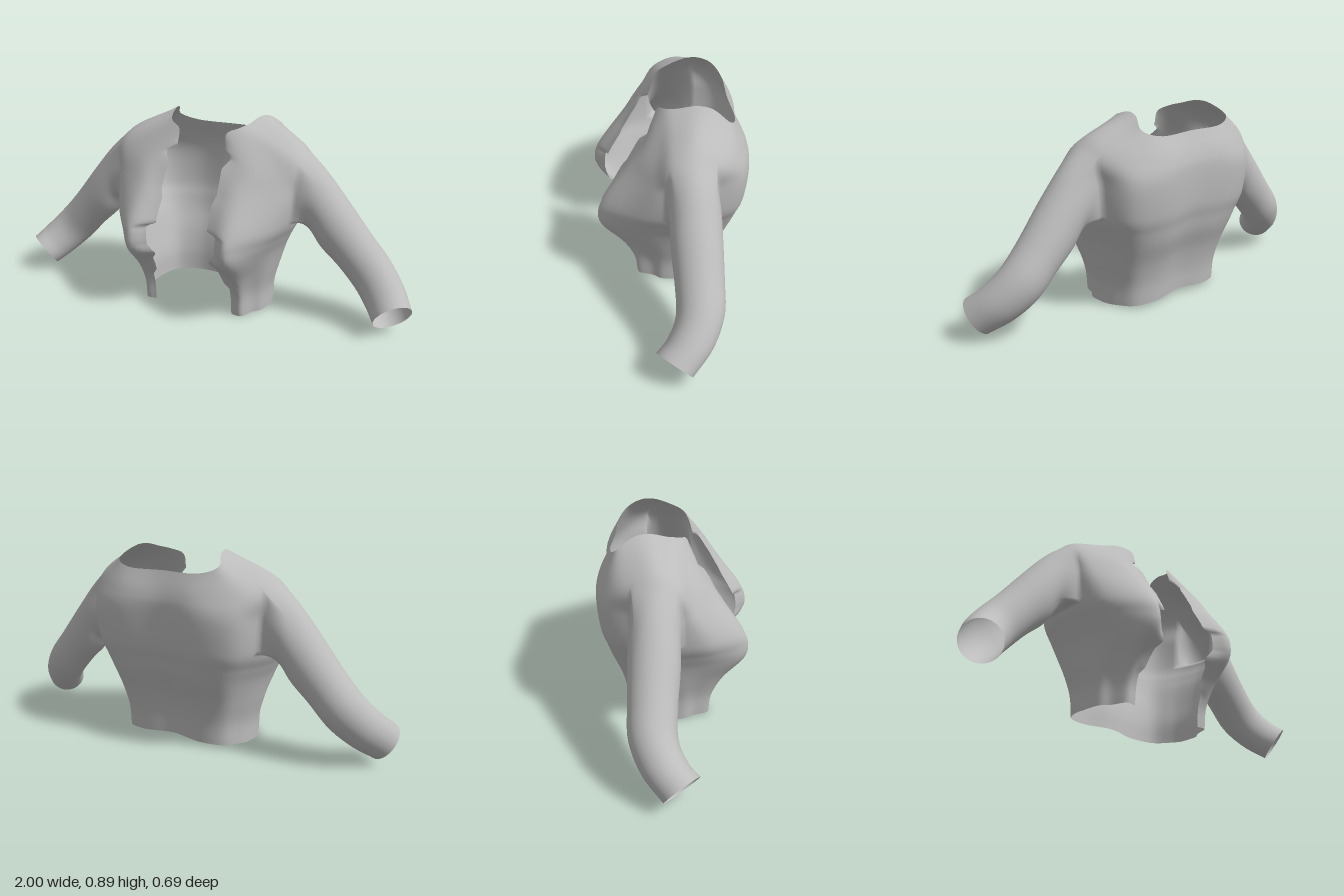
import * as THREE from 'three';
import { mergeVertices } from 'three/addons/utils/BufferGeometryUtils.js';

const V = (p) => new THREE.Vector3(...p);
const spline = (pts) => new THREE.CatmullRomCurve3(pts, false, 'catmullrom', 0.5);
const SU = 6, SV = 8, SW = 5; // steps between control points: around, up, along the sleeve

// Body levels: height, half width, depth of back, depth of front
const levels = [
  [0, .315, -.215, .165], [.1, .32, -.225, .18], [.2, .345, -.25, .235], [.3, .374, -.29, .325],
  [.37, .405, -.31, .34], [.45, .44, -.33, .31], [.6, .455, -.34, .2],
];

// Shoulder line and neckline, from the back centre to the front opening
const shoulder = [[0, .7, -.31], [.2, .71, -.32], [.36, .72, -.26], [.44, .74, -.16], [.45, .77, -.06],
  [.44, .74, .03], [.35, .72, .08], [.25, .7, .13], [.135, .69, .14]];
const neckline = [[0, .8, -.27], [.18, .8, -.275], [.27, .83, -.24], [.24, .88, -.17], [.22, .89, -.1],
  [.2, .87, -.02], [.17, .855, .03], [.12, .83, .06], [.12, .76, .08]];

// Ragged front opening: height, distance from the centre line
const opening = [[0, .2], [.14, .2], [.17, .175], [.25, .165], [.285, .135], [.33, .17], [.42, .175],
  [.435, .13], [.55, .125], [.58, .14], [.69, .135], [.73, .165], [.76, .12]];

// Sleeve rings: centre x, y, z, radius, lean outwards, turn to the front
const rings = [
  [.525, .54, -.06, .142, .18, 0], [.605, .443, -.058, .125, .41, 0], [.705, .333, -.058, .104, .69, 0],
  [.795, .235, -.05, .101, .74, .06], [.87, .155, 0, .096, .81, .29], [.925, .097, .07, .089, .82, .65],
];

function openingAt(y) {
  const k = Math.max(opening.findIndex((p) => p[0] > y), 0) || opening.length - 1;
  const [y0, x0] = opening[y < 0 ? 0 : k - 1], [y1, x1] = opening[y < 0 ? 1 : k];
  return x0 + (x1 - x0) * THREE.MathUtils.clamp((y - y0) / (y1 - y0), 0, 1);
}

// One body level as nine points from the back centre round the left side
function levelRow([y, w, back, front]) {
  const outline = [
    [0, back + .02], [.47 * w, back], [.82 * w, .85 * back], [.96 * w, .48 * back], [w, -.03],
    [.98 * w, .055], [.88 * w, .01 + .55 * front], [.25, front], [openingAt(y), front - .25 * (front - .165)],
  ];
  return outline.map(([x, z], c) => [x, y + .025 * Math.max(1 - c / 4, 0), z]);
}

// Torso grid, smoothed up each column and then round each row
function torsoGrid() {
  const rows = [...levels.map(levelRow), shoulder, neckline];
  const nu = 8 * SU, nv = (rows.length - 1) * SV;
  const columns = neckline.map((_, c) => spline(rows.map((r) => V(r[c]))));
  const grid = [];
  for (let j = 0; j <= nv; j++) {
    const pts = columns.map((c) => c.getPoint(j / nv));
    const mirrored = pts[1].clone();
    mirrored.x *= -1;
    const curve = spline([mirrored, ...pts]);
    const line = [];
    for (let i = 0; i <= nu; i++) {
      const u = i / SU, p = curve.getPoint((1 + u) / 9);
      if (i === 0) p.x = 0;
      if (u > 7) p.x += (openingAt(p.y) - pts[8].x) * (u - 7);
      p.y = Math.max(p.y, 0);
      line.push(p);
    }
    grid.push(line);
  }
  return grid;
}

// Point on a sleeve ring, at an angle measured from its top towards the front
function ringPoint([x, y, z, r, lean, turn], angle) {
  const up = V([Math.sin(lean), Math.cos(lean), 0]);
  const front = V([-.7 * Math.sin(turn), .71 * Math.sin(turn), Math.cos(turn)]);
  return V([x, y, z]).addScaledVector(up, r * Math.cos(angle))
    .addScaledVector(front, Math.min(r, .11) * Math.sin(angle));
}

// Sleeve grid, grown from the edge of the armhole to the cuff
function sleeveGrid(torso, [i0, i1, j0, j1]) {
  const edge = [];
  for (let i = i0; i < i1; i++) edge.push(torso[j0][i]);
  for (let j = j0; j < j1; j++) edge.push(torso[j][i1]);
  for (let i = i1; i > i0; i--) edge.push(torso[j1][i]);
  for (let j = j1; j > j0; j--) edge.push(torso[j][i0]);
  edge.push(edge[0]);
  const paths = edge.map((p) => {
    const angle = Math.atan2((p.z + .06) / .11, (p.y - .6) / .16);
    return spline([p, ...rings.map((ring) => ringPoint(ring, angle))]);
  });
  const n = rings.length * SW;
  return Array.from({ length: n + 1 }, (_, j) => paths.map((path) => path.getPoint(j / n)));
}

export function createModel() {
  const cloth = new THREE.MeshStandardMaterial({ color: 0xbcbcbc, side: THREE.DoubleSide });
  cloth.name = 'grey cloth';

  const positions = [], indices = [];
  // Adds a grid of points as quads, mirrored for side = -1
  function addGrid(grid, side, skip = () => false) {
    const base = positions.length / 3, w = grid[0].length;
    for (const line of grid) for (const p of line) positions.push(side * p.x, p.y, p.z);
    for (let j = 0; j < grid.length - 1; j++) {
      for (let i = 0; i < w - 1; i++) {
        if (skip(i, j)) continue;
        const a = base + j * w + i, b = a + 1, d = a + w, c = d + 1;
        if (side > 0) indices.push(a, d, c, a, c, b);
        else indices.push(a, c, d, a, b, c);
      }
    }
  }

  // Leave the armhole open and join the sleeve to its edge
  const hole = [3 * SU, 5 * SU, 5 * SV, 7 * SV];
  const torso = torsoGrid(), sleeve = sleeveGrid(torso, hole);
  for (const side of [1, -1]) {
    addGrid(torso, side, (i, j) => i >= hole[0] && i < hole[1] && j >= hole[2] && j < hole[3]);
    addGrid(sleeve, side);
  }

  // Weld the halves and sleeves into one smooth cloth shell
  let geometry = new THREE.BufferGeometry();
  geometry.setAttribute('position', new THREE.Float32BufferAttribute(positions, 3));
  geometry.setIndex(indices);
  geometry = mergeVertices(geometry, 1e-5);
  geometry.computeVertexNormals();

  const jacket = new THREE.Mesh(geometry, cloth);
  jacket.name = 'openJacketWithSleeves';
  const group = new THREE.Group();
  group.name = 'croppedJacket';
  group.add(jacket);
  return group;
}
